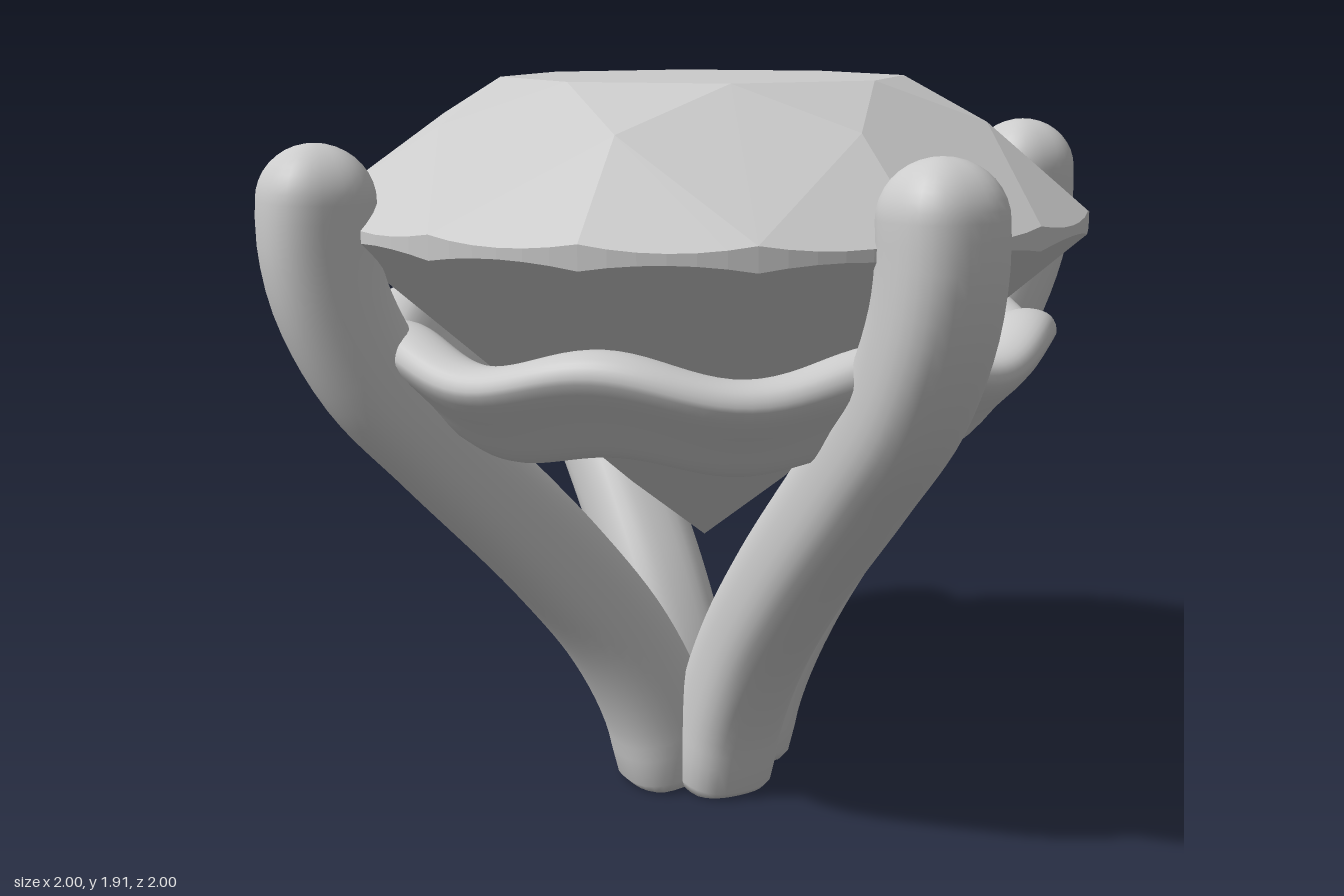
import * as THREE from 'three';

const grey = () => new THREE.MeshStandardMaterial({ color: 0xcccccc });

// Skin a list of closed rings (equal point counts); wrap joins last ring to first.
function loft(rings, flip = false, wrap = false) {
  const n = rings[0].length, pos = [], idx = [];
  rings.forEach(r => r.forEach(p => pos.push(p.x, p.y, p.z)));
  const count = wrap ? rings.length : rings.length - 1;
  for (let i = 0; i < count; i++) {
    const k = (i + 1) % rings.length;
    for (let j = 0; j < n; j++) {
      const a = i * n + j, b = i * n + (j + 1) % n, c = k * n + (j + 1) % n, d = k * n + j;
      if (flip) idx.push(a, c, b, a, d, c);
      else idx.push(a, b, c, a, c, d);
    }
  }
  const g = new THREE.BufferGeometry();
  g.setAttribute('position', new THREE.Float32BufferAttribute(pos, 3));
  g.setIndex(idx);
  g.computeVertexNormals();
  return g;
}

// Round brilliant cut: table, stars, kites, halves, scalloped girdle, pavilion.
function gemGeometry() {
  const pos = [], centre = new THREE.Vector3(0, 1.5, 0);
  const at = (deg, r, y) => {
    const a = deg * Math.PI / 180;
    return new THREE.Vector3(Math.sin(a) * r, y, Math.cos(a) * r);
  };
  const tri = (a, b, c) => {
    const n = b.clone().sub(a).cross(c.clone().sub(a));
    const out = a.clone().add(b).add(c).divideScalar(3).sub(centre);
    const order = n.dot(out) < 0 ? [a, c, b] : [a, b, c];
    order.forEach(p => pos.push(p.x, p.y, p.z));
  };
  const table = d => at(d, 0.53, 1.915), star = d => at(d, 0.74, 1.808);
  const top = d => at(d, 1, 1.592), low = d => at(d, 1, 1.533);
  const lower = d => at(d, 0.22, 0.85);
  const culet = new THREE.Vector3(0, 0.675, 0), tableMid = new THREE.Vector3(0, 1.915, 0);
  // rim of a flat half facet where it meets the round girdle
  const rim = (a, b, c, from, to, steps) => {
    const n = b.clone().sub(a).cross(c.clone().sub(a));
    return Array.from({ length: steps + 1 }, (_, k) => {
      const p = at(from + (to - from) * k / steps, 1, 0);
      p.y = a.y - (n.x * (p.x - a.x) + n.z * (p.z - a.z)) / n.y;
      return p;
    });
  };
  for (let i = 0; i < 8; i++) {
    const d = i * 45, l = d - 22.5, r = d + 22.5;
    tri(tableMid, table(l), table(r));
    tri(table(l), table(r), star(d));
    tri(table(r), star(d), top(r));
    tri(table(r), star(d + 45), top(r));
    tri(culet, lower(d), low(r));
    tri(culet, lower(d + 45), low(r));
    for (const [from, to] of [[l, d], [d, r]]) {
      const up = rim(star(d), top(from), top(to), from, to, 6);
      const down = rim(lower(d), low(from), low(to), from, to, 6);
      for (let k = 0; k < 6; k++) {
        tri(star(d), up[k], up[k + 1]);
        tri(up[k], up[k + 1], down[k]);
        tri(up[k + 1], down[k + 1], down[k]);
        tri(lower(d), down[k], down[k + 1]);
      }
    }
  }
  const g = new THREE.BufferGeometry();
  g.setAttribute('position', new THREE.Float32BufferAttribute(pos, 3));
  g.computeVertexNormals();
  return g;
}

// Claw swept along a curve with a rounded-square section and domed tip.
function prongGeometry(sx, sz) {
  const curve = new THREE.CatmullRomCurve3([
    [0.07, 0, 0.105], [0.105, 0.2, 0.125], [0.185, 0.42, 0.19], [0.32, 0.67, 0.32],
    [0.535, 1.0, 0.53], [0.66, 1.2, 0.655], [0.73, 1.4, 0.725], [0.75, 1.55, 0.745], [0.748, 1.64, 0.744]
  ].map(p => new THREE.Vector3(...p)));
  const side = new THREE.Vector3(1, 0, -1).normalize();
  const ring = (u, scale, lift = 0) => {
    const t = curve.getTangentAt(u);
    const c = curve.getPointAt(u).addScaledVector(t, lift);
    const n = new THREE.Vector3().crossVectors(side, t).normalize();
    return Array.from({ length: 32 }, (_, j) => {
      const a = j / 32 * Math.PI * 2, ca = Math.cos(a), sa = Math.sin(a), e = 2.6;
      const r = 0.137 * scale / Math.pow(Math.abs(ca) ** e + Math.abs(sa) ** e, 1 / e);
      const p = c.clone().addScaledVector(side, ca * r).addScaledVector(n, sa * r);
      return new THREE.Vector3(p.x * sx, Math.max(p.y, 0), p.z * sz);
    });
  };
  const rings = [ring(0, 0), ring(0, 0.7), ring(0.007, 0.86), ring(0.02, 0.96)];
  for (let i = 1; i <= 40; i++) rings.push(ring(0.035 + 0.965 * i / 40, 1));
  for (let i = 1; i <= 9; i++) {
    const a = i / 9 * Math.PI / 2;
    rings.push(ring(1, Math.max(Math.cos(a), 0), 0.137 * Math.sin(a)));
  }
  // the winding reverses on the two copies mirrored only once
  return loft(rings, sx * sz > 0);
}

// Wavy ring slung under the stone; section given as radius and height.
function galleryGeometry() {
  const section = new THREE.CatmullRomCurve3([
    [0.93, 1.24], [0.915, 1.285], [0.86, 1.303], [0.79, 1.285],
    [0.72, 1.18], [0.66, 1.07], [0.69, 1.042], [0.755, 1.045], [0.84, 1.135]
  ].map(p => new THREE.Vector3(p[0], p[1], 0)), true).getPoints(36).slice(0, 36);
  const rings = [];
  for (let i = 0; i < 160; i++) {
    const a = i / 160 * Math.PI * 2, w = Math.cos(8 * a);
    rings.push(section.map(p => new THREE.Vector3(
      p.x * Math.sin(a),
      p.y + w * (0.02 + 0.012 * (p.y - 1.04) / 0.26),
      p.x * Math.cos(a))));
  }
  return loft(rings, true, true);
}

export function createModel() {
  const model = new THREE.Group();
  model.name = 'gemSetting';
  const add = (geometry, name, flat = false) => {
    const mesh = new THREE.Mesh(geometry, grey());
    mesh.material.flatShading = flat;
    mesh.name = name;
    model.add(mesh);
  };
  add(gemGeometry(), 'gemstone', true);
  add(galleryGeometry(), 'galleryRing');
  for (const sx of [1, -1]) for (const sz of [1, -1]) {
    add(prongGeometry(sx, sz), `${sz > 0 ? 'front' : 'back'}${sx > 0 ? 'Left' : 'Right'}Prong`);
  }
  return model;
}
